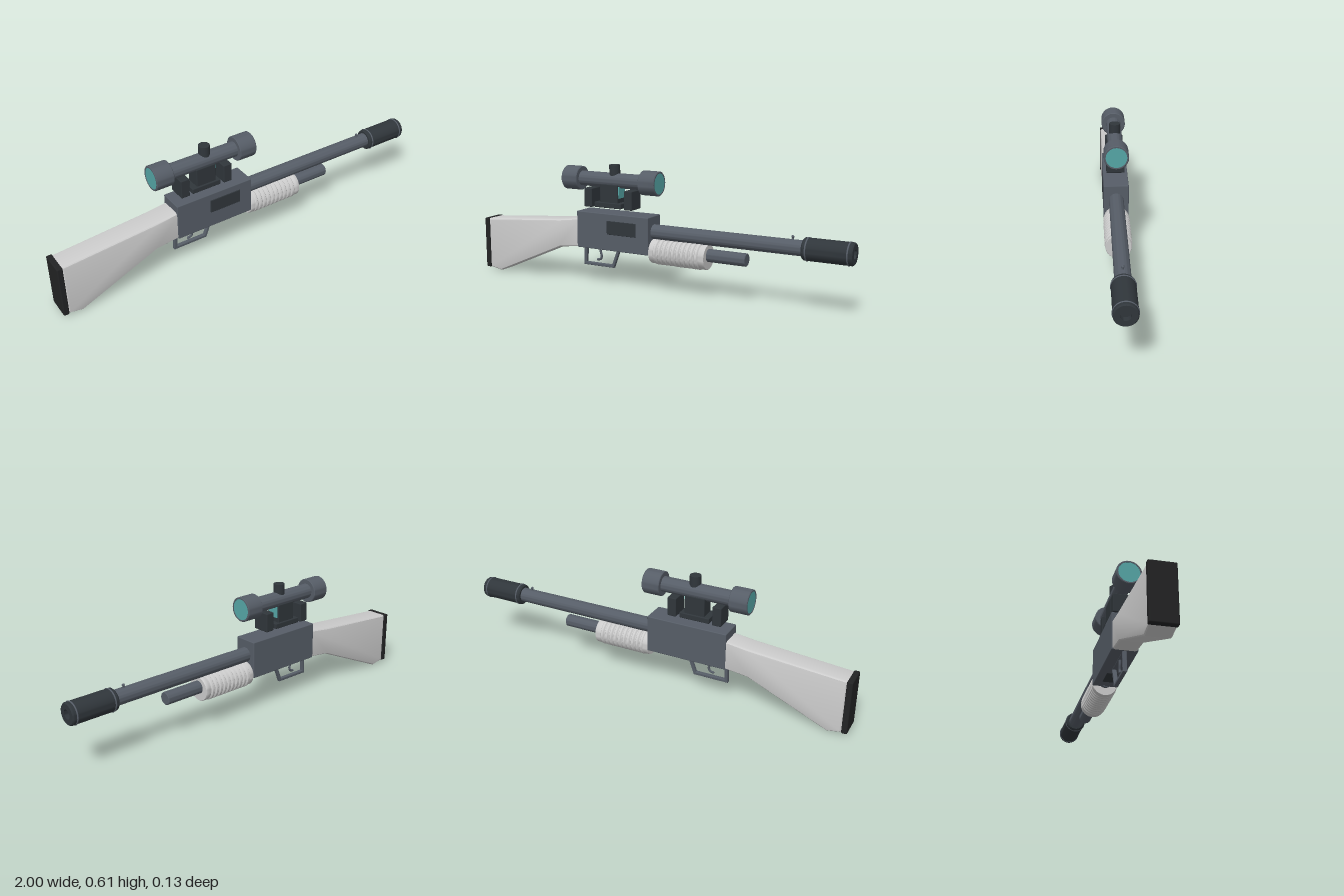
import * as THREE from 'three';
import { RoundedBoxGeometry } from 'three/addons/geometries/RoundedBoxGeometry.js';
import { toCreasedNormals } from 'three/addons/utils/BufferGeometryUtils.js';

const mat = (color) => new THREE.MeshStandardMaterial({ color });

export function createModel() {
  const model = new THREE.Group();
  const grey = mat(0xcccccc), steel = mat(0x565d67), dark = mat(0x30363b);
  const black = mat(0x222324), glass = mat(0x55a6a6);

  function add(name, geometry, material, x = 0, y = 0, z = 0, parent = model) {
    const mesh = new THREE.Mesh(geometry, material);
    mesh.name = name;
    mesh.position.set(x, y, z);
    parent.add(mesh);
    return mesh;
  }

  // Rounded block given by its x and y extents and its half depth
  function block(name, x0, x1, y0, y1, halfZ, material, r = 0.004, z = 0) {
    const g = new RoundedBoxGeometry(x1 - x0, y1 - y0, halfZ * 2, 2, r);
    return add(name, g, material, (x0 + x1) / 2, (y0 + y1) / 2, z);
  }

  // Solid of revolution about the x axis; profile is [x, radius] pairs
  function turned(name, profile, y, material, segments = 40) {
    const pts = profile.map(([x, r]) => new THREE.Vector2(r, x));
    const g = toCreasedNormals(new THREE.LatheGeometry(pts, segments).rotateZ(-Math.PI / 2), 0.6);
    return add(name, g, material, 0, y);
  }
  const rod = (name, x0, x1, r, y, material, c = 0.003) => turned(name,
    [[x0, 0], [x0, r - c], [x0 + c, r], [x1 - c, r], [x1, r - c], [x1, 0]], y, material);

  // Bevelled side outline, extruded evenly about z = 0
  function plate(name, points, halfZ, bevel, material, hole) {
    const shape = new THREE.Shape(points.map((p) => new THREE.Vector2(...p)));
    if (hole) shape.holes.push(new THREE.Path(hole.map((p) => new THREE.Vector2(...p))));
    const depth = 2 * (halfZ - bevel);
    const g = new THREE.ExtrudeGeometry(shape, {
      depth, bevelThickness: bevel, bevelSize: bevel, bevelOffset: -bevel, bevelSegments: 3,
    });
    return add(name, toCreasedNormals(g.translate(0, 0, -depth / 2), 0.5), material);
  }

  // Receiver with ejection port and loading port
  block('receiver', -0.4, 0.01, 0.188, 0.373, 0.061, steel);
  block('ejectionPort', -0.222, -0.058, 0.27, 0.338, 0.004, dark, 0.002, 0.061);
  block('loadingPort', -0.15, -0.05, 0.185, 0.195, 0.025, dark, 0.002);

  // Shoulder stock and butt pad
  plate('stock', [[-0.975, 0.281], [-0.975, 0.015], [-0.905, 0.002], [-0.51, 0.175],
    [-0.385, 0.19], [-0.385, 0.335], [-0.51, 0.319]], 0.057, 0.012, grey);
  block('buttPad', -1, -0.972, 0.014, 0.283, 0.06, black, 0.006);

  // Trigger guard and hooked trigger
  plate('triggerGuard', [[-0.392, 0.195], [-0.397, 0.088], [-0.218, 0.088], [-0.178, 0.195]],
    0.01, 0.004, steel, [[-0.376, 0.185], [-0.38, 0.103], [-0.228, 0.103], [-0.197, 0.185]]);
  const triggerPath = new THREE.CatmullRomCurve3([[-0.302, 0.195], [-0.3, 0.165],
    [-0.294, 0.14], [-0.3, 0.125], [-0.317, 0.12]].map(([x, y]) => new THREE.Vector3(x, y, 0)));
  add('trigger', new THREE.TubeGeometry(triggerPath, 24, 0.006, 10), steel);
  add('triggerTip', new THREE.SphereGeometry(0.006, 10, 8), steel, -0.317, 0.12);

  // Barrel, bead sight and muzzle
  rod('barrel', 0, 0.79, 0.036, 0.297, steel);
  add('beadPost', new THREE.CylinderGeometry(0.004, 0.006, 0.015, 12), steel, 0.717, 0.337);
  add('beadSight', new THREE.SphereGeometry(0.007, 14, 10), steel, 0.717, 0.345);
  turned('muzzle', [[0.77, 0], [0.77, 0.046], [0.776, 0.052], [0.994, 0.052], [1, 0.047],
    [1, 0.022], [0.975, 0.022], [0.975, 0]], 0.296, dark);
  for (const x of [0.79, 0.978]) {
    const ring = add('muzzleRing', new THREE.TorusGeometry(0.051, 0.004, 8, 40), steel, x, 0.296);
    ring.rotation.y = Math.PI / 2;
  }

  // Magazine tube under the barrel
  rod('magazineTube', 0, 0.5, 0.031, 0.212, steel);

  // Pump grip with evenly spaced rounded ribs
  const ribs = [[0.01, 0], [0.01, 0.059], [0.013, 0.061], [0.032, 0.061]];
  for (let i = 0; i < 10; i++) {
    const x = 0.036 + i * 0.0245;
    ribs.push([x, 0.061], [x + 0.003, 0.0645], [x + 0.013, 0.0645], [x + 0.016, 0.061],
      [x + 0.018, 0.058], [x + 0.022, 0.058]);
  }
  ribs.push([0.284, 0.061], [0.302, 0.061], [0.305, 0.059], [0.305, 0]);
  turned('pumpGrip', ribs, 0.203, grey);

  // Scope tube with a bell and lens at each end
  const scopeY = 0.532;
  rod('scopeTube', -0.45, 0, 0.037, scopeY, steel);
  for (const [x0, x1, lensX, side] of [[-0.492, -0.402, -0.4895, -1], [-0.05, 0.04, 0.0375, 1]]) {
    const profile = [[x0, 0.051], [x0, 0.057], [x0 + 0.003, 0.06], [x1 - 0.003, 0.06], [x1, 0.057]];
    if (side > 0) profile.splice(0, 1, [x0, 0]), profile.push([x1, 0.051], [lensX, 0.051], [lensX, 0]);
    else profile.unshift([lensX, 0], [lensX, 0.051]), profile.push([x1, 0]);
    turned('scopeBell', profile, scopeY, steel);
    const lens = add('scopeLens', new THREE.CircleGeometry(0.051, 40), glass, lensX + side * 0.001, scopeY);
    lens.rotation.y = side * Math.PI / 2;
  }

  // Adjustment turret
  add('scopeTurret', new THREE.CylinderGeometry(0.027, 0.027, 0.07, 32), dark, -0.212, 0.575);

  // Scope mount: base plate, central housing with window, two posts
  block('mountBase', -0.305, -0.152, 0.398, 0.425, 0.045, dark);
  block('mountHousing', -0.277, -0.175, 0.418, 0.515, 0.037, dark);
  block('mountWindow', -0.178, -0.171, 0.447, 0.505, 0.029, glass, 0.001);
  for (const x of [-0.365, -0.135]) block('mountPost', x, x + 0.045, 0.396, 0.49, 0.045, dark);

  return model;
}
